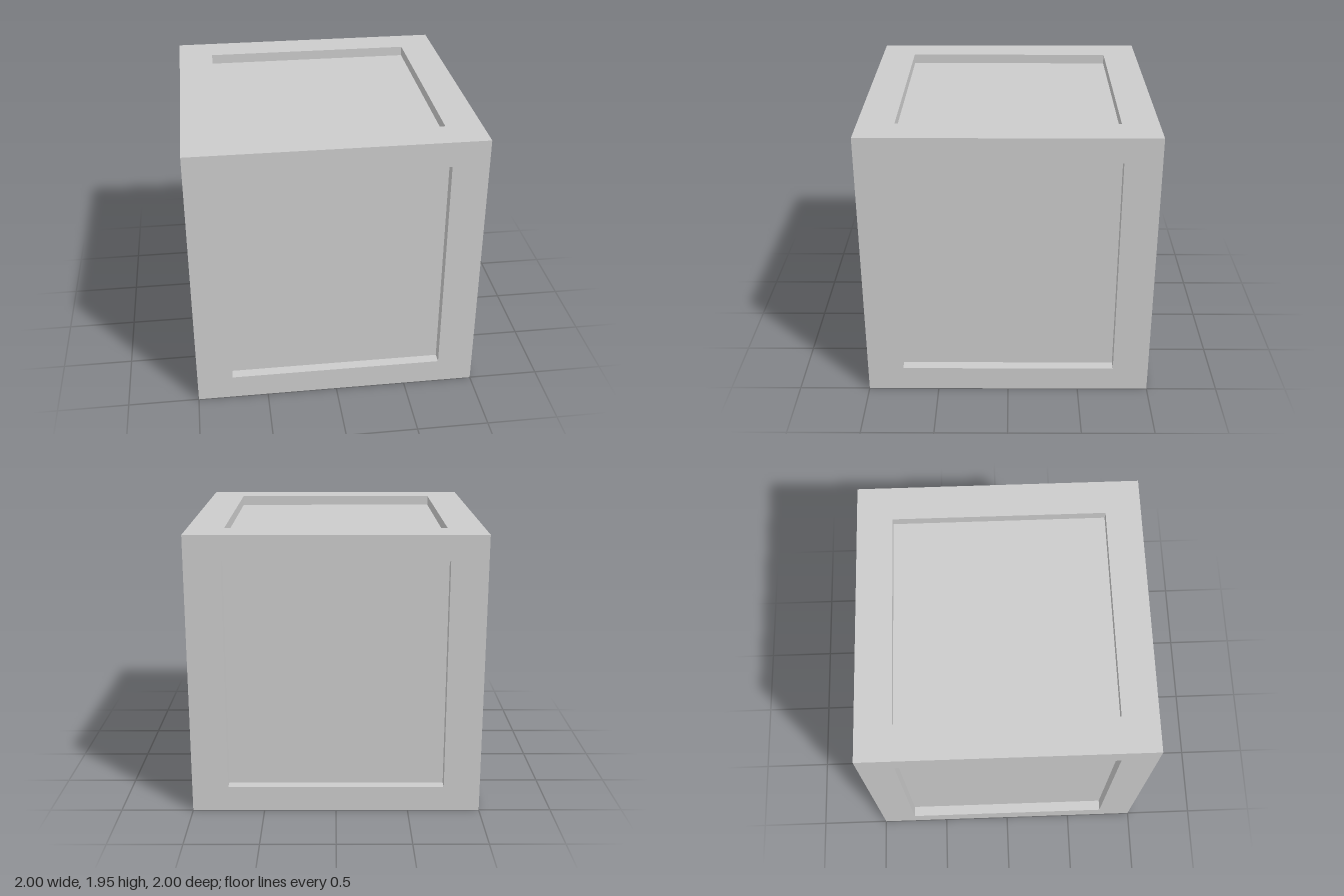
import * as THREE from 'three';

const W = 2, H = 1.95;      // crate width (and depth), height
const BORDER_X = 0.25;      // frame width beside the panels
const BORDER_Y = 0.175;     // frame width above and below the side panels

// One face of the crate, facing +z: flat frame, recess walls and sunken panel.
function recessedFace(w, h, bx, by, depth) {
  const ring = (x, y, z) => [[-x, -y, z], [x, -y, z], [x, y, z], [-x, y, z]];
  const ix = w / 2 - bx, iy = h / 2 - by;
  const rings = [ring(w / 2, h / 2, 0), ring(ix, iy, 0), ring(ix, iy, -depth)];
  const pos = [];
  const quad = (a, b, c, d) => pos.push(...a, ...b, ...c, ...a, ...c, ...d);
  for (let r = 0; r < 2; r++) {
    for (let i = 0; i < 4; i++) {
      const j = (i + 1) % 4;
      quad(rings[r][i], rings[r][j], rings[r + 1][j], rings[r + 1][i]);
    }
  }
  quad(...rings[2]);
  const geo = new THREE.BufferGeometry();
  geo.setAttribute('position', new THREE.Float32BufferAttribute(pos, 3));
  geo.computeVertexNormals();
  return geo;
}

export function createModel() {
  const crate = new THREE.Group();
  crate.name = 'crate';
  const material = new THREE.MeshStandardMaterial({ color: 0xcccccc, flatShading: true });
  const sideGeo = recessedFace(W, H, BORDER_X, BORDER_Y, 0.075);
  const capGeo = recessedFace(W, W, BORDER_X, BORDER_X, 0.07);

  const addFace = (name, geo, rx, ry, distance) => {
    const face = new THREE.Mesh(geo, material);
    face.name = name;
    face.rotation.set(rx, ry, 0);
    face.position.set(0, 0, distance).applyEuler(face.rotation);
    face.position.y += H / 2;
    crate.add(face);
  };

  // Four upright sides
  ['frontSide', 'leftSide', 'backSide', 'rightSide'].forEach((name, i) =>
    addFace(name, sideGeo, 0, i * Math.PI / 2, W / 2));

  // Lid and base
  addFace('lid', capGeo, -Math.PI / 2, 0, H / 2);
  addFace('base', capGeo, Math.PI / 2, 0, H / 2);
  return crate;
}
